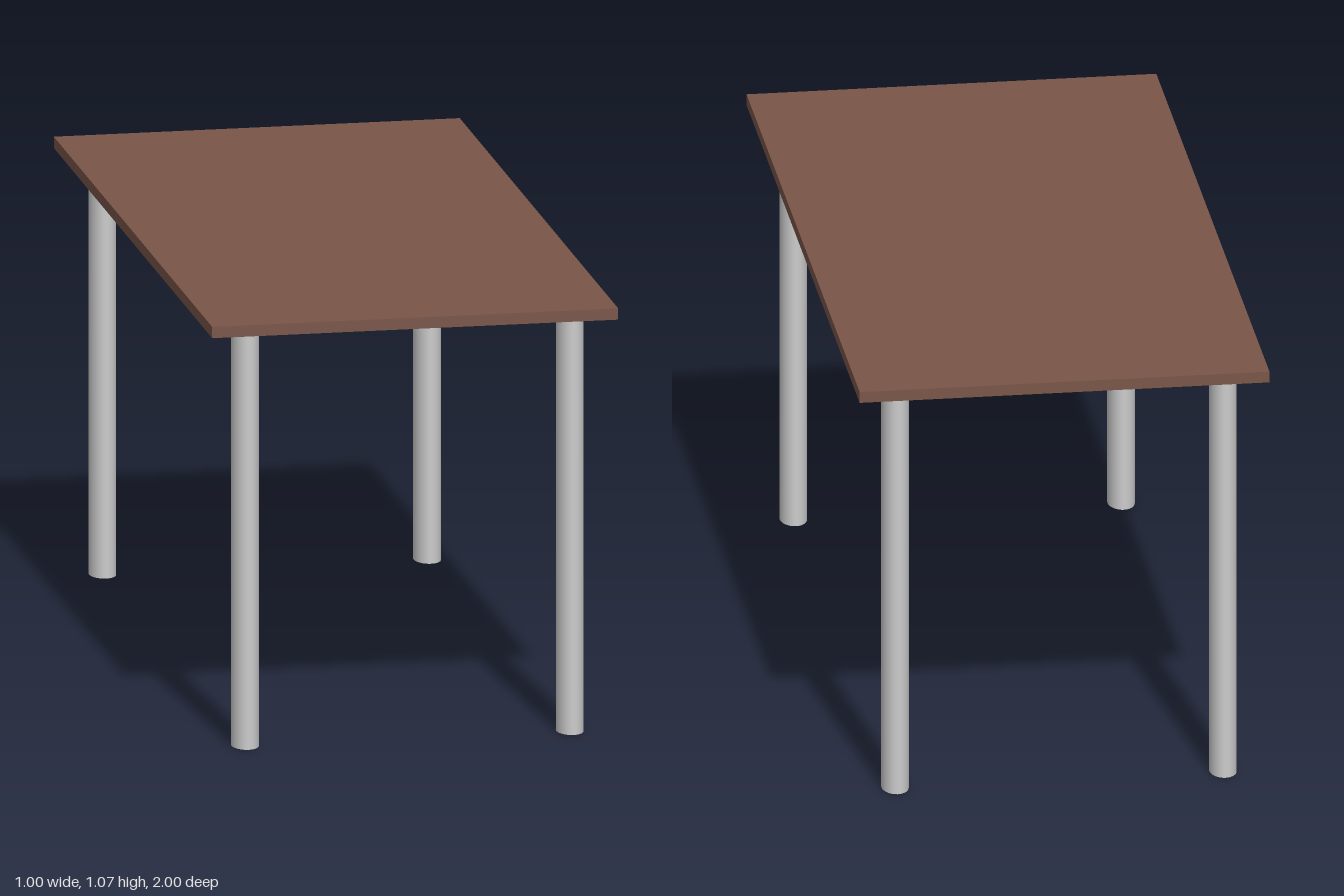
import * as THREE from 'three';

const TOP_Y = 1.068, THICKNESS = 0.028;
const LEG_HEIGHT = TOP_Y - THICKNESS;

export function createModel() {
  const table = new THREE.Group();
  table.name = 'table';

  // Flat rectangular top
  const wood = new THREE.MeshStandardMaterial({ color: 0x795548 });
  const top = new THREE.Mesh(new THREE.BoxGeometry(1, THICKNESS, 2), wood);
  top.name = 'tableTop';
  top.position.y = TOP_Y - THICKNESS / 2;
  table.add(top);

  // Four legs with an oval cross-section, longer along z
  const grey = new THREE.MeshStandardMaterial({ color: 0xcccccc });
  const legGeometry = new THREE.CylinderGeometry(1, 1, LEG_HEIGHT, 32);
  legGeometry.scale(0.033, 1, 0.05);
  for (const [side, x] of [['Left', 0.4], ['Right', -0.4]]) {
    for (const [end, z] of [['front', 0.9], ['back', -0.9]]) {
      const leg = new THREE.Mesh(legGeometry, grey);
      leg.name = `${end}${side}Leg`;
      leg.position.set(x, LEG_HEIGHT / 2, z);
      table.add(leg);
    }
  }
  return table;
}
